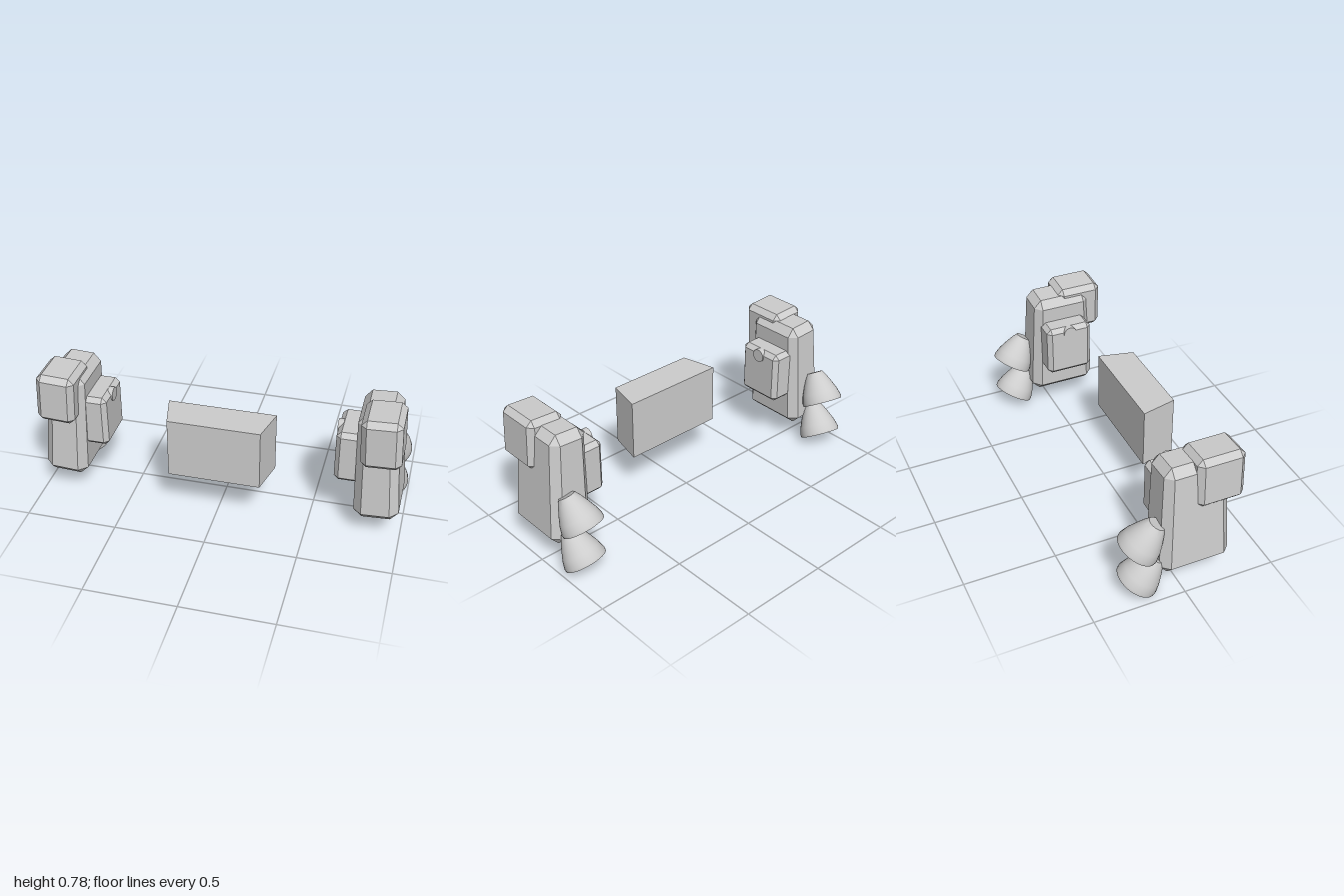
import * as THREE from 'three';
import { ConvexGeometry } from 'three/addons/geometries/ConvexGeometry.js';
import { toCreasedNormals } from 'three/addons/utils/BufferGeometryUtils.js';

// Box with chamfered edges; taper narrows x and z linearly with height
function chamferBox(hx, hy, hz, bevel, taper = 0) {
  const points = [];
  for (const sx of [-1, 1]) for (const sy of [-1, 1]) for (const sz of [-1, 1]) {
    for (let axis = 0; axis < 3; axis++) {
      const inset = [0, 1, 2].map(i => (i === axis ? 0 : bevel));
      const y = sy * (hy - inset[1]);
      const s = 1 - taper * (y + hy - bevel);
      points.push(new THREE.Vector3(sx * (hx - inset[0]) * s, y, sz * (hz - inset[2]) * s));
    }
  }
  return new ConvexGeometry(points);
}

// Closed bell, narrow end at the origin, opening towards -y
function bellGeometry() {
  const profile = [[0, -0.18], [0.113, -0.18], [0.115, -0.165], [0.103, -0.12],
    [0.082, -0.07], [0.063, -0.03], [0.045, 0], [0, 0]];
  const lathe = new THREE.LatheGeometry(profile.map(p => new THREE.Vector2(...p)), 32);
  return toCreasedNormals(lathe, 0.6);
}

export function createModel() {
  const model = new THREE.Group();
  model.name = 'model';
  const grey = new THREE.MeshStandardMaterial({ color: 0xcccccc });
  grey.name = 'light grey';

  const add = (parent, name, geometry, x, y, z) => {
    const mesh = new THREE.Mesh(geometry, grey);
    mesh.name = name;
    mesh.position.set(x, y, z);
    parent.add(mesh);
    return mesh;
  };

  // Central block, narrower at the front
  const plan = new THREE.Shape([[-0.25, -0.295], [0.25, -0.295], [0.295, -0.1], [-0.295, -0.1]]
    .map(p => new THREE.Vector2(...p)));
  const block = new THREE.ExtrudeGeometry(plan, { depth: 0.34, bevelEnabled: false });
  block.rotateX(-Math.PI / 2);
  add(model, 'centreBlock', block, 0, 0.265, 0);

  const body = chamferBox(0.12, 0.312, 0.192, 0.045, 0.25);
  const frontBox = chamferBox(0.105, 0.14, 0.129, 0.03);
  const innerBox = chamferBox(0.08, 0.15, 0.135, 0.025);
  const button = new THREE.CylinderGeometry(0.038, 0.038, 0.03, 24);
  button.rotateZ(Math.PI / 2);
  const bell = bellGeometry();

  // Mirrored side pods, leaning inwards at the top
  for (const side of [-1, 1]) {
    const pod = new THREE.Group();
    pod.name = side > 0 ? 'leftPod' : 'rightPod';
    model.add(pod);
    add(pod, 'podBody', body, side * 0.85, 0.436, 0.07).rotation.z = side * 0.056;
    add(pod, 'frontBox', frontBox, side * 0.866, 0.638, 0.187).rotation.z = side * 0.05;
    add(pod, 'innerBox', innerBox, side * 0.704, 0.46, 0.065);
    add(pod, 'button', button, side * 0.632, 0.575, 0.065);

    // Two bells at the back, pointing down and backwards
    const direction = new THREE.Vector3(-side * 0.023, -0.15, -0.095).normalize();
    for (const y of [0.435, 0.218]) {
      add(pod, 'rearBell', bell, side * 0.905, y, -0.125)
        .quaternion.setFromUnitVectors(new THREE.Vector3(0, -1, 0), direction);
    }
  }
  return model;
}
